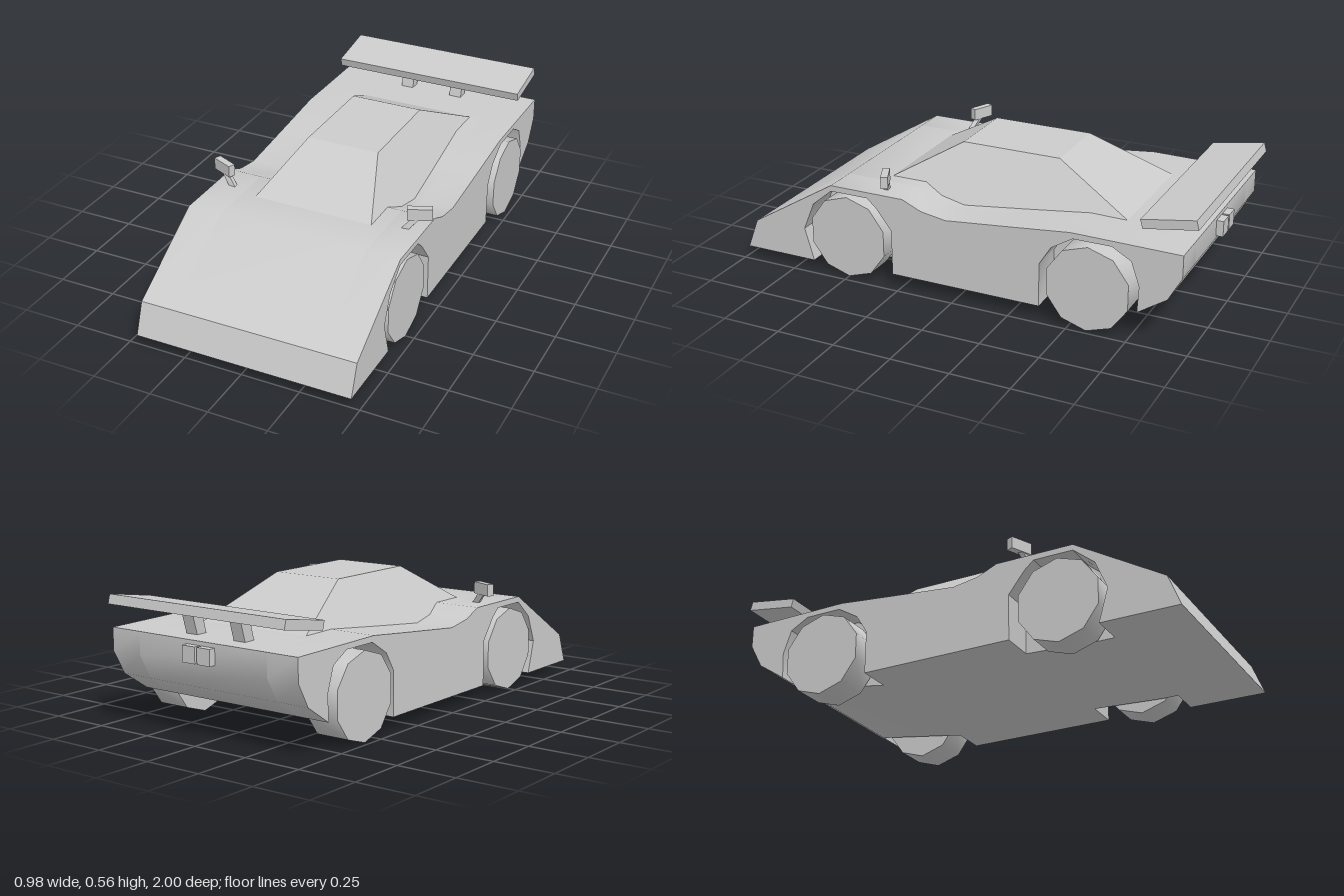
import * as THREE from 'three';
import { toCreasedNormals } from 'three/addons/utils/BufferGeometryUtils.js';

const material = new THREE.MeshStandardMaterial({ color: 0xcccccc });

// Extrudes a (z, y) side profile across the width from x0 to x1.
function sideExtrude(points, x0, x1, crease = 0.6) {
  const shape = new THREE.Shape(points.map(([z, y]) => new THREE.Vector2(z, y)));
  const geo = new THREE.ExtrudeGeometry(shape, { depth: x1 - x0, bevelEnabled: false });
  geo.rotateY(-Math.PI / 2).translate(x1, 0, 0);
  return toCreasedNormals(geo, crease);
}

// Frustum with a rectangular base and roof; rects are [halfWidth, front z, back z, y].
function frustum(base, roof) {
  const geo = new THREE.BoxGeometry(2, 1, 1).toNonIndexed();
  const p = geo.attributes.position;
  for (let i = 0; i < p.count; i++) {
    const [w, front, back, y] = p.getY(i) > 0 ? roof : base;
    p.setXYZ(i, p.getX(i) * w, y, p.getZ(i) > 0 ? front : back);
  }
  geo.computeVertexNormals();
  return geo;
}

export function createModel() {
  const car = new THREE.Group();
  car.name = 'sportsCar';
  const add = (name, geo, parent = car) => {
    const mesh = new THREE.Mesh(geo, material);
    mesh.name = name;
    parent.add(mesh);
    return mesh;
  };

  // Body: a full centre section and side strips with the wheel arches cut out
  const upper = [
    [-0.78, 0.11], [-0.9, 0.19], [-0.955, 0.29], [-0.955, 0.385], [-0.5, 0.39], [-0.25, 0.364],
    [0.04, 0.335], [0.15, 0.353], [0.235, 0.39], [0.57, 0.39], [0.95, 0.16], [1, 0.03],
  ];
  const frontArch = [
    [0.67, 0.03], [0.71, 0.17], [0.66, 0.29], [0.57, 0.365],
    [0.4, 0.365], [0.36, 0.33], [0.29, 0.24], [0.29, 0.045],
  ];
  const rearArch = [
    [-0.37, 0.045], [-0.4, 0.23], [-0.42, 0.31], [-0.51, 0.365],
    [-0.67, 0.365], [-0.75, 0.32], [-0.785, 0.22], [-0.78, 0.11],
  ];
  rearArch[1][0] = -0.37;
  const inner = 0.32, outer = 0.465;
  const floor = [[0.6, 0.03], [0.29, 0.045], [-0.37, 0.045], [-0.45, 0.06]];
  add('bodyCentre', sideExtrude([...upper, ...floor], -inner, inner));
  const strip = [...upper, ...frontArch, ...rearArch.slice(0, -1)];
  add('bodySideLeft', sideExtrude(strip, inner, outer));
  add('bodySideRight', sideExtrude(strip, -outer, -inner));

  // Cabin, its lower edge sunk into the deck
  add('cabin', frustum([0.294, 0.486, -0.763, 0.335], [0.158, 0.11, -0.32, 0.553]));

  // Rear wing
  add('rearWing', sideExtrude(
    [[-0.77, 0.488], [-0.99, 0.524], [-1, 0.486], [-0.78, 0.451]], -0.44, 0.44));
  const strut = [[-0.82, 0.37], [-0.87, 0.37], [-0.9, 0.475], [-0.845, 0.467]];

  for (const side of [1, -1]) {
    const label = side > 0 ? 'Left' : 'Right';

    // Ten-sided wheels
    for (const [name, z, out] of [['frontWheel', 0.5, 0.463], ['rearWheel', -0.578, 0.48]]) {
      const wheel = new THREE.CylinderGeometry(0.179, 0.179, out - 0.335, 10);
      wheel.rotateZ(Math.PI / 2).rotateX(Math.PI / 2);
      wheel.translate(side * (out + 0.335) / 2, 0.17, z);
      add(name + label, toCreasedNormals(wheel, 0.7));
    }

    // Wing strut and tail box
    add('wingStrut' + label, sideExtrude(strut, side * 0.12 - 0.028, side * 0.12 + 0.028));
    add('tailBox' + label, new THREE.BoxGeometry(0.064, 0.066, 0.045)
      .translate(side * 0.037, 0.335, -0.962));

    // Door mirror on a slanted stalk
    const mirror = new THREE.Group();
    mirror.name = 'mirror' + label;
    car.add(mirror);
    const head = add('mirrorHead', new THREE.BoxGeometry(0.1, 0.05, 0.03), mirror);
    head.position.set(side * 0.438, 0.455, 0.325);
    head.rotation.y = side * 0.42;
    const from = new THREE.Vector3(side * 0.37, 0.365, 0.355);
    const to = new THREE.Vector3(side * 0.432, 0.44, 0.328);
    const stalk = add('mirrorStalk', new THREE.BoxGeometry(0.024, from.distanceTo(to), 0.02), mirror);
    stalk.position.copy(from).lerp(to, 0.5);
    stalk.quaternion.setFromUnitVectors(new THREE.Vector3(0, 1, 0), to.clone().sub(from).normalize());
  }
  return car;
}
